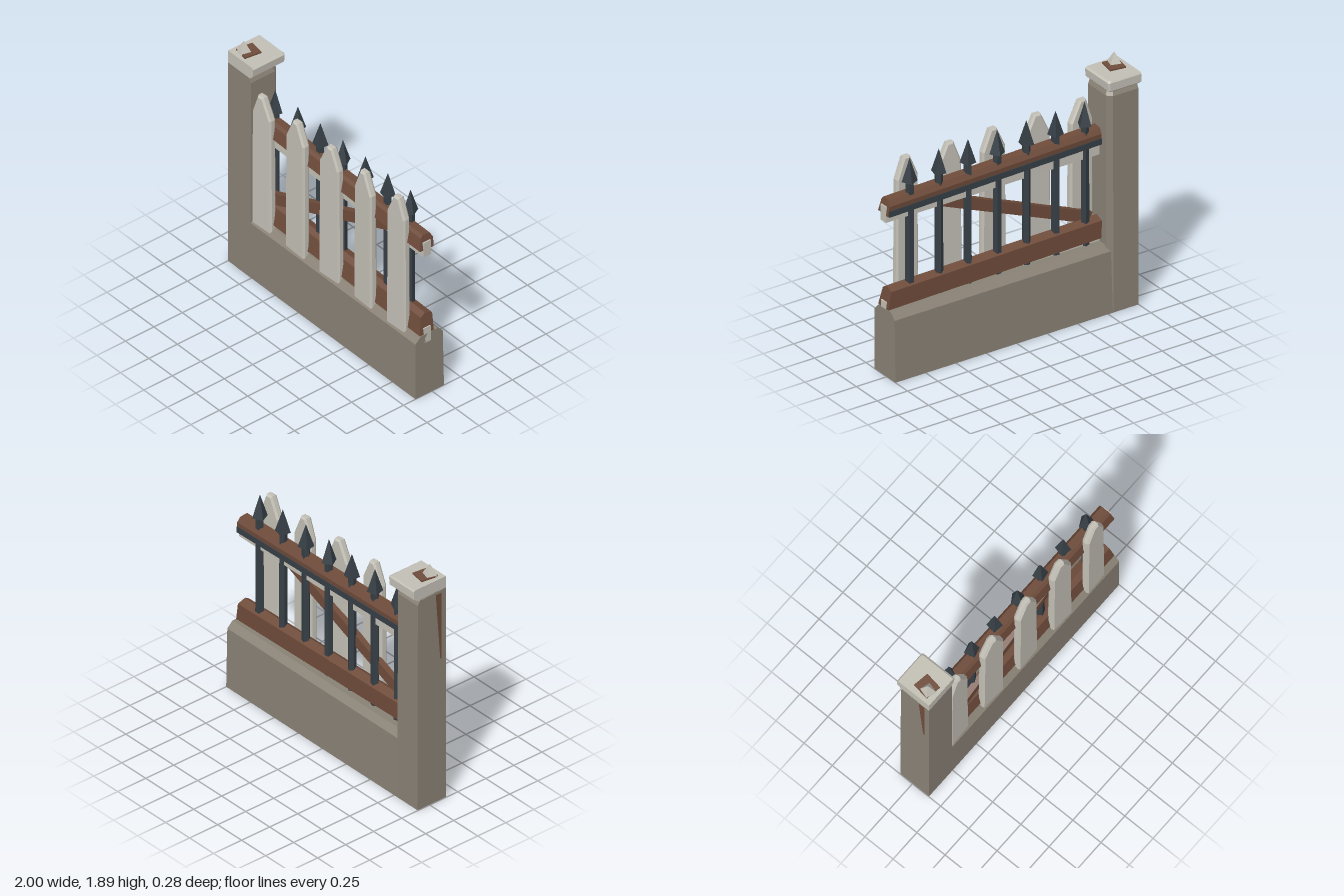
import * as THREE from 'three';
import { ConvexGeometry } from 'three/addons/geometries/ConvexGeometry.js';

const paint = (name, color) => {
  const m = new THREE.MeshStandardMaterial({ color, flatShading: true });
  m.name = name;
  return m;
};

export function createModel() {
  const stone = paint('stone', 0x898175);
  const pale = paint('paleWood', 0xc2bfb5);
  const brown = paint('brownWood', 0x6f4c3b);
  const iron = paint('iron', 0x363f46);

  const model = new THREE.Group();
  model.name = 'fenceSection';

  const add = (name, geometry, material) => {
    const mesh = new THREE.Mesh(geometry, material);
    mesh.name = name;
    model.add(mesh);
    return mesh;
  };

  const box = (name, material, x0, x1, y0, y1, z0, z1) => {
    const mesh = add(name, new THREE.BoxGeometry(x1 - x0, y1 - y0, z1 - z0), material);
    mesh.position.set((x0 + x1) / 2, (y0 + y1) / 2, (z0 + z1) / 2);
    return mesh;
  };

  // Beam along x from a [z, y] profile; it drops by `drop` and its top corner is cut at the far end
  const beam = (profile, x0, x1, drop = 0, cut = 0) => {
    const shape = new THREE.Shape(profile.map(([z, y]) => new THREE.Vector2(-z, y)));
    const g = new THREE.ExtrudeGeometry(shape, { depth: x1 - x0, bevelEnabled: false });
    g.rotateY(Math.PI / 2).translate(x0, 0, 0);
    const ys = profile.map((p) => p[1]);
    const low = Math.min(...ys), high = Math.max(...ys);
    const p = g.attributes.position;
    for (let i = 0; i < p.count; i++) {
      const t = (p.getX(i) - x0) / (x1 - x0);
      if (t > 0.5) p.setX(i, p.getX(i) - cut * (p.getY(i) - low) / (high - low));
      p.setY(i, p.getY(i) - drop * t);
    }
    g.computeVertexNormals();
    return g;
  };

  // Solid through horizontal rings of [right x, back z, corner cut, y], flush at the left and front
  const stack = (rings) => new ConvexGeometry(rings.flatMap(([x, z, c, y]) => [
    [-0.998, 0.145], [x, 0.145], [x, z + c], [x - c, z], [-0.998, z],
  ].map(([px, pz]) => new THREE.Vector3(px, y, pz))));

  // Low wall with chamfered top
  add('lowWall', beam([[0.145, 0], [0.145, 0.465], [0.1, 0.51], [-0.05, 0.515],
    [-0.095, 0.47], [-0.105, 0]], -0.9, 1), stone);

  // Gate post, its cap and the wooden core showing through
  add('post', stack([[-0.755, -0.107, 0.035, 0.002], [-0.755, -0.105, 0.035, 1.66],
    [-0.775, -0.08, 0.03, 1.705]]), stone);
  add('postCap', stack([[-0.765, -0.1, 0.01, 1.695], [-0.735, -0.14, 0.01, 1.725],
    [-0.73, -0.14, 0.01, 1.785], [-0.745, -0.13, 0.01, 1.797]]), pale);
  const core = box('postCoreTop', brown, -0.96, -0.84, 1.7, 1.808, -0.02, 0.11);
  core.rotation.y = -0.15;
  box('postCoreBase', brown, -0.97, -0.85, 0, 0.006, -0.02, 0.09);
  const sliver = [[0.055, 1.68], [0.105, 1.68], [0.105, 1.15], [0.095, 1.15]];
  add('postCoreSide', beam(sliver, -1, -0.996), brown);
  const tip = add('capSpike', new THREE.ConeGeometry(0.06, 0.09, 4), pale);
  tip.position.set(-0.92, 1.845, 0.07);
  tip.rotation.y = 0.5;

  // Horizontal rails with pale battens inside them
  add('upperRail', beam([[0.105, 1.275], [0.085, 1.37], [0.065, 1.39], [0.005, 1.385],
    [-0.018, 1.345], [-0.012, 1.27]], -0.77, 1, 0.04, 0.02), brown);
  add('lowerRail', beam([[0.105, 0.545], [0.08, 0.68], [0.04, 0.705], [-0.02, 0.68],
    [-0.018, 0.545]], -0.77, 0.998, 0.03, 0.025), brown);
  box('upperBatten', pale, -0.77, 1, 1.175, 1.295, 0.01, 0.075);
  box('lowerBatten', pale, -0.77, 1, 0.44, 0.565, 0.01, 0.07);
  add('ironStrap', beam([[0.01, 1.265], [0.01, 1.31], [-0.021, 1.31], [-0.021, 1.265]],
    -0.77, 0.99, 0.04), iron);

  // Diagonal brace
  const brace = add('brace', new THREE.BoxGeometry(1.52, 0.085, 0.045), brown);
  brace.position.set(0, 0.98, 0.06);
  brace.rotation.z = Math.atan(0.41);

  // Pointed pickets: [centre x, width, peak offset, lean]
  [[-0.66, 0.195, -0.01, 0.005], [-0.305, 0.21, 0, -0.012], [0.06, 0.205, 0.005, 0.004],
    [0.42, 0.195, -0.005, -0.006], [0.772, 0.19, 0.005, 0.003]].forEach(([x, w, peak, lean], i) => {
    const b = 0.012, h = w / 2 - b;
    const shape = new THREE.Shape([[-h, 0.482], [h, 0.482], [h - 0.005, 1.425],
      [peak + 0.018, 1.575], [peak - 0.018, 1.575], [-h + 0.005, 1.425]]
      .map(([px, py]) => new THREE.Vector2(px, py)));
    const g = new THREE.ExtrudeGeometry(shape, {
      depth: 0.03, bevelEnabled: true, bevelSize: b, bevelThickness: 0.014, bevelSegments: 1,
    });
    const picket = add('picket' + (i + 1), g, pale);
    picket.position.set(x, 0, 0.092);
    picket.rotation.z = lean * 0.3;
    picket.rotation.y = (i % 2 ? -1 : 1) * 0.04;
  });

  // Iron bars with spear heads
  for (let i = 0; i < 7; i++) {
    const x = -0.643 + i * 0.24;
    const spear = new THREE.Group();
    spear.name = 'ironSpear' + (i + 1);
    const shaft = new THREE.Mesh(new THREE.CylinderGeometry(0.03, 0.032, 1.02, 5), iron);
    shaft.name = 'shaft';
    shaft.position.y = 0.95;
    const head = new THREE.Mesh(new THREE.ConeGeometry(0.057, 0.18, 4), iron);
    head.name = 'spearHead';
    head.position.y = 1.52;
    spear.add(shaft, head);
    spear.position.set(x, 0, 0.022);
    spear.rotation.y = 0.35 + (i * 0.7) % 1.1;
    model.add(spear);
  }

  return model;
}
